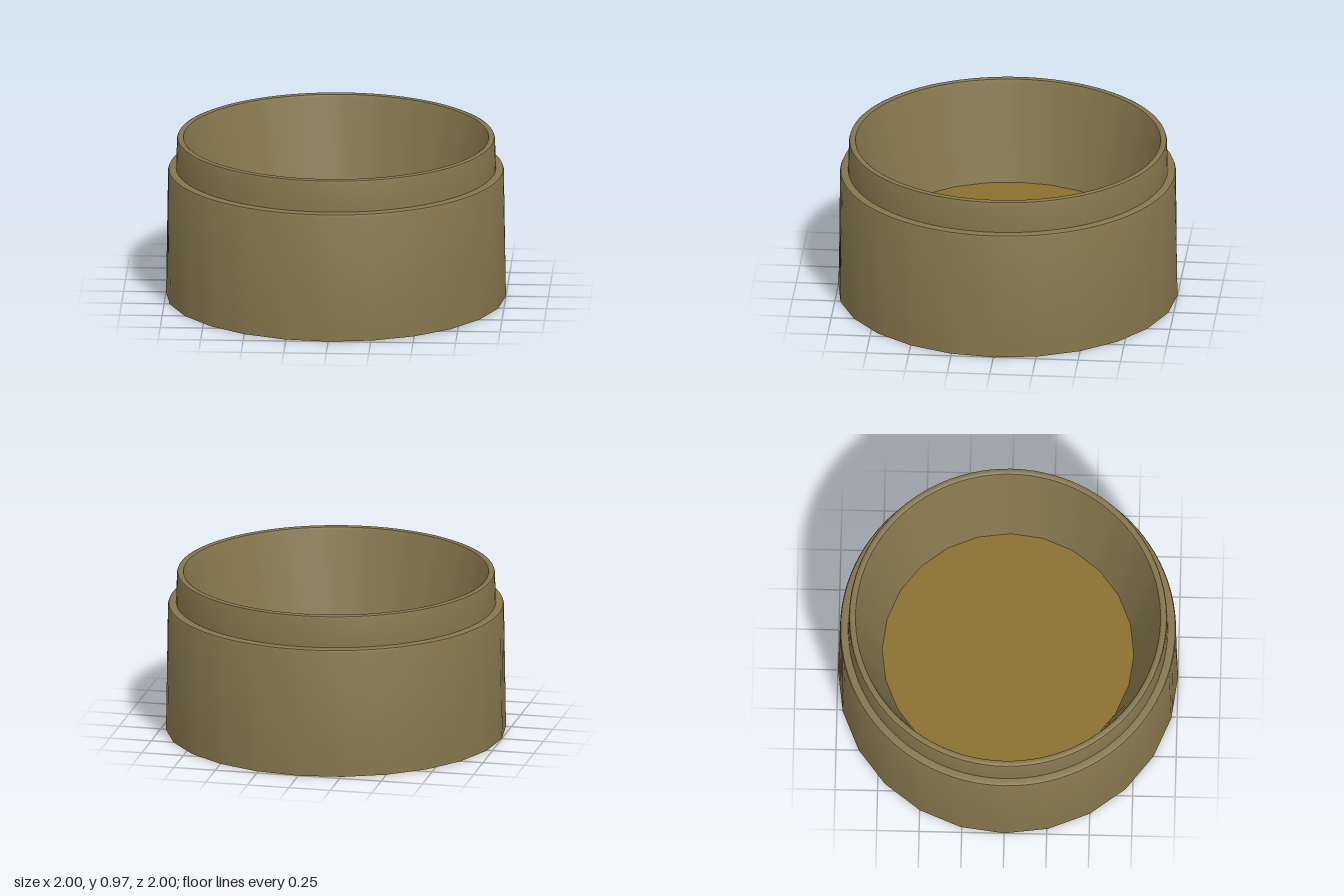
import * as THREE from 'three';
import { toCreasedNormals } from 'three/addons/utils/BufferGeometryUtils.js';

const SIDES = 24;   // corners of the base outline and the floor
const STEPS = 96;   // divisions of the round rims

// Radius multiplier that turns a circle into a 24-sided polygon
function polygonFactor(angle) {
  const half = Math.PI / SIDES;
  const local = angle % (2 * half);
  return Math.cos(half) / Math.cos(local - half);
}

// Surface through rings [radius, height, isPolygon]
function loftRings(rings) {
  const positions = [], index = [];
  rings.forEach(([r, y, isPolygon], i) => {
    for (let j = 0; j < STEPS; j++) {
      const a = (j / STEPS) * Math.PI * 2;
      const k = isPolygon ? r * polygonFactor(a) : r;
      positions.push(k * Math.sin(a), y, k * Math.cos(a));
      if (i === rings.length - 1) continue;
      const p = i * STEPS + j, q = i * STEPS + (j + 1) % STEPS;
      index.push(p, q, p + STEPS, q, q + STEPS, p + STEPS);
    }
  });
  const geometry = new THREE.BufferGeometry();
  geometry.setAttribute('position', new THREE.Float32BufferAttribute(positions, 3));
  geometry.setIndex(index);
  return toCreasedNormals(geometry, 0.6);
}

export function createModel() {
  const model = new THREE.Group();
  model.name = 'steppedCup';

  const shellMaterial = new THREE.MeshStandardMaterial({ color: 0x84754c, side: THREE.DoubleSide });
  shellMaterial.name = 'drabBrown';
  const floorMaterial = new THREE.MeshStandardMaterial({ color: 0x8a6f2e, side: THREE.DoubleSide });
  floorMaterial.name = 'ochre';

  function add(name, geometry, material) {
    const mesh = new THREE.Mesh(geometry, material);
    mesh.name = name;
    model.add(mesh);
    return mesh;
  }

  // Outer skirt, open below, blending from a polygon to a round shoulder
  add('outerWall', loftRings([
    [1, 0, true], [0.988, 0.757, false], [0.983, 0.77, false], [0.97, 0.775, false], [0.94, 0.775, false],
  ]), shellMaterial);

  // Narrower neck with a softened lip
  add('neck', loftRings([
    [0.94, 0.775, false], [0.935, 0.95, false], [0.931, 0.962, false], [0.92, 0.967, false],
    [0.905, 0.967, false], [0.897, 0.962, false], [0.893, 0.95, false],
  ]), shellMaterial);

  // Tapered bowl wall running down to the floor
  add('innerWall', loftRings([[0.893, 0.95, false], [0.74, 0.37, true]]), shellMaterial);

  // Flat floor of the bowl
  const floor = add('floor', new THREE.CircleGeometry(0.74, SIDES), floorMaterial);
  floor.rotation.x = -Math.PI / 2;
  floor.position.y = 0.37;

  return model;
}
